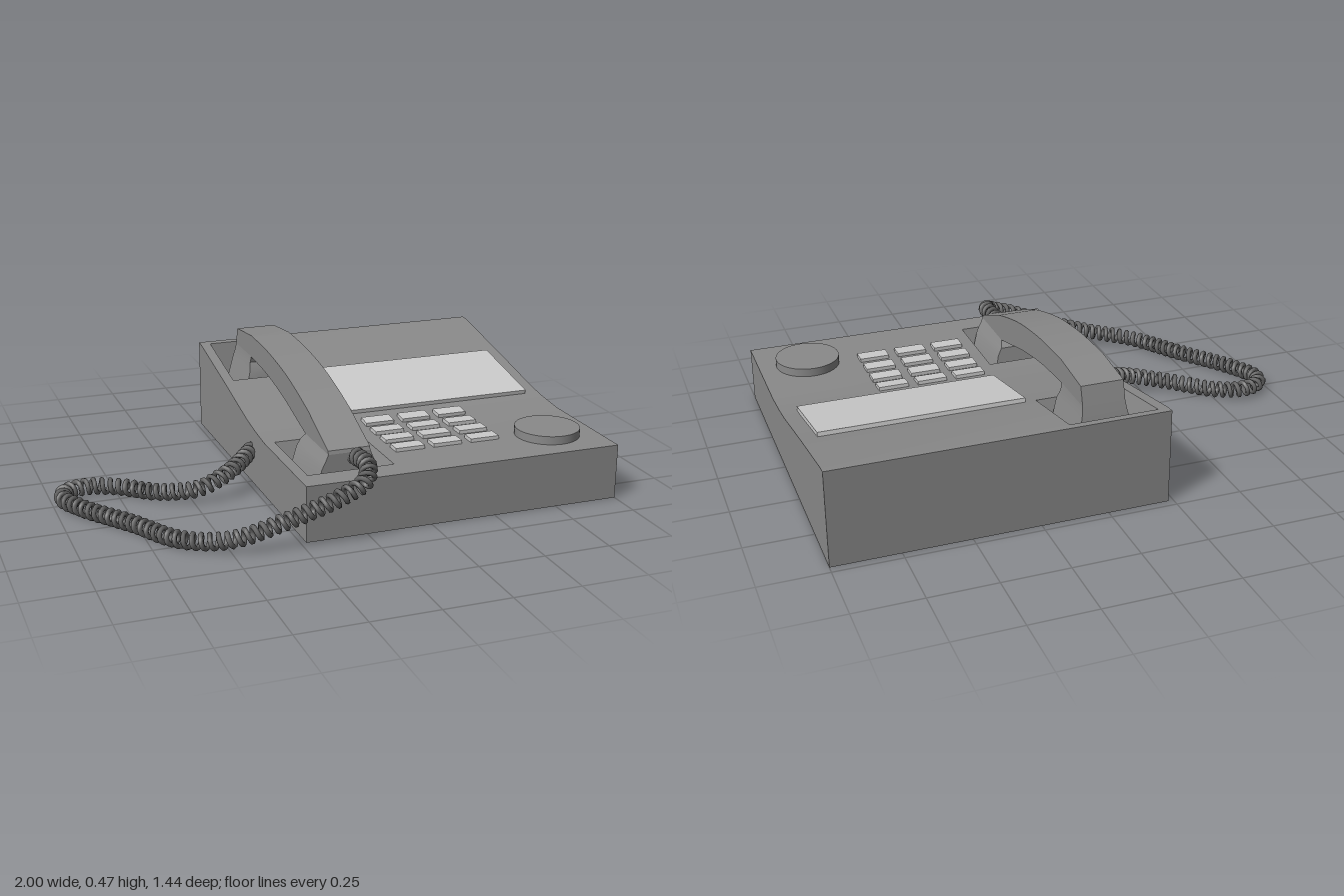
import * as THREE from 'three';
import { toCreasedNormals } from 'three/addons/utils/BufferGeometryUtils.js';

const paint = (color) => new THREE.MeshStandardMaterial({ color, side: THREE.DoubleSide });
const caseMat = paint(0x8a8a8a), lightMat = paint(0xcccccc), cordMat = paint(0x666666);

// Side profile of the case top: [z, height], front to back
const PROFILE = [[0.62, 0.21], [0.16, 0.21], [0.1, 0.215], [0.03, 0.222], [-0.06, 0.235],
  [-0.36, 0.297], [-0.69, 0.36], [-0.72, 0.362]];
const X0 = -0.23, X1 = 1;
// Cradle wells sunk into the case top
const WELLS = [
  { x0: -0.19, x1: 0.14, z0: -0.69, z1: -0.36, floor: 0.2 },
  { x0: -0.19, x1: 0.14, z0: 0.16, z1: 0.52, floor: 0.12 },
];

function topHeight(z) {
  for (let i = 1; i < PROFILE.length; i++) {
    const [za, ya] = PROFILE[i - 1], [zb, yb] = PROFILE[i];
    if (z >= zb) return ya + (yb - ya) * (za - z) / (za - zb);
  }
  return PROFILE[PROFILE.length - 1][1];
}

// Collects quads (counter-clockwise corners) into one geometry
function quadBuilder() {
  const pos = [];
  return {
    quad(a, b, c, d) { pos.push(...a, ...b, ...c, ...a, ...c, ...d); },
    build() {
      const g = new THREE.BufferGeometry();
      g.setAttribute('position', new THREE.Float32BufferAttribute(pos, 3));
      g.computeVertexNormals();
      return g;
    },
  };
}

// Rectangular ring of corners seen from above, counter-clockwise
const ring = (x0, x1, z0, z1, yAt) =>
  [[x0, z1], [x1, z1], [x1, z0], [x0, z0]].map(([x, z]) => [x, yAt(z), z]);

function caseGeometry() {
  const q = quadBuilder();
  const zs = [...new Set([...PROFILE.map((p) => p[0]), 0.52])].sort((a, b) => b - a);
  const xs = [X0, -0.19, 0.14, X1];
  const top = (x, z) => [x, topHeight(z), z];
  for (let i = 0; i + 1 < zs.length; i++) {
    const f = zs[i], b = zs[i + 1], mid = (f + b) / 2;
    for (let j = 0; j < 3; j++) {
      if (j === 1 && WELLS.some((w) => mid > w.z0 && mid < w.z1)) continue;
      q.quad(top(xs[j], f), top(xs[j + 1], f), top(xs[j + 1], b), top(xs[j], b));
    }
    q.quad([X1, 0, f], [X1, 0, b], top(X1, b), top(X1, f));
    q.quad([X0, 0, b], [X0, 0, f], top(X0, f), top(X0, b));
  }
  const zf = zs[0], zb = zs[zs.length - 1];
  q.quad([X0, 0, zf], [X1, 0, zf], top(X1, zf), top(X0, zf));
  q.quad([X1, 0, zb], [X0, 0, zb], top(X0, zb), top(X1, zb));
  q.quad([X0, 0, zb], [X1, 0, zb], [X1, 0, zf], [X0, 0, zf]);
  // Sloping well walls and floors
  const s = 0.03;
  for (const w of WELLS) {
    const rim = ring(w.x0, w.x1, w.z0, w.z1, topHeight);
    const base = ring(w.x0 + s, w.x1 - s, w.z0 + s, w.z1 - s, () => w.floor);
    for (let i = 0; i < 4; i++) {
      const n = (i + 1) % 4;
      q.quad(rim[i], rim[n], base[n], base[i]);
    }
    q.quad(...base);
  }
  return toCreasedNormals(q.build(), 0.3);
}

// Flared cup: rows of [y, x0, x1, z0, z1] from top to bottom
function cupGeometry(rows) {
  const q = quadBuilder();
  const rings = rows.map(([y, ...r]) => ring(...r, () => y));
  for (let i = 0; i + 1 < rings.length; i++) {
    for (let k = 0; k < 4; k++) {
      const n = (k + 1) % 4;
      q.quad(rings[i + 1][k], rings[i + 1][n], rings[i][n], rings[i][k]);
    }
  }
  q.quad(...rings[rings.length - 1].slice().reverse());
  return toCreasedNormals(q.build(), 0.6);
}

// Arched handset grip, drawn in (z, y) and extruded across x
function gripGeometry() {
  const v = (a) => a.map(([x, y]) => new THREE.Vector2(x, y));
  const s = new THREE.Shape();
  s.moveTo(-0.61, 0.375);
  s.lineTo(-0.59, 0.445);
  s.lineTo(-0.4, 0.465);
  s.splineThru(v([[-0.2, 0.457], [0, 0.432], [0.15, 0.398], [0.28, 0.36]]));
  s.lineTo(0.485, 0.277);
  s.lineTo(0.49, 0.262);
  s.lineTo(0.255, 0.262);
  s.splineThru(v([[0.15, 0.288], [0, 0.326], [-0.2, 0.36], [-0.405, 0.375]]));
  s.closePath();
  const g = new THREE.ExtrudeGeometry(s, { depth: 0.16, bevelEnabled: false, curveSegments: 5 });
  g.rotateY(-Math.PI / 2).translate(0.06, 0, 0);
  return toCreasedNormals(g, 0.3);
}

// Coil wound round a guide curve
class Coil extends THREE.Curve {
  constructor(guide, radius, turns) {
    super();
    Object.assign(this, { guide, radius, turns });
  }
  getPoint(t, target = new THREE.Vector3()) {
    const p = this.guide.getPointAt(t), d = this.guide.getTangentAt(t);
    const side = new THREE.Vector3(-d.z, 0, d.x).normalize();
    const up = new THREE.Vector3().crossVectors(d, side).normalize();
    const a = t * this.turns * Math.PI * 2;
    return target.copy(p).addScaledVector(side, this.radius * Math.cos(a))
      .addScaledVector(up, this.radius * Math.sin(a));
  }
}

export function createModel() {
  const model = new THREE.Group();
  const add = (name, geometry, material, parent = model) => {
    const mesh = new THREE.Mesh(geometry, material);
    mesh.name = name;
    parent.add(mesh);
    return mesh;
  };

  add('case', caseGeometry(), caseMat);

  // Handset with flared ends resting in the wells
  const handset = new THREE.Group();
  handset.name = 'handset';
  model.add(handset);
  add('grip', gripGeometry(), caseMat, handset);
  add('earpiece', cupGeometry([
    [0.376, -0.1, 0.06, -0.61, -0.402], [0.35, -0.103, 0.063, -0.617, -0.408],
    [0.31, -0.112, 0.072, -0.627, -0.388], [0.2, -0.135, 0.095, -0.645, -0.388]]), caseMat, handset);
  add('mouthpiece', cupGeometry([
    [0.264, -0.1, 0.06, 0.25, 0.49], [0.24, -0.11, 0.07, 0.225, 0.49],
    [0.21, -0.125, 0.085, 0.22, 0.49], [0.12, -0.145, 0.105, 0.205, 0.49]]), caseMat, handset);

  // Display panel lying on the slope
  const slope = Math.atan2(topHeight(-0.36) - topHeight(0), 0.36);
  const panel = add('displayPanel', new THREE.BoxGeometry(0.76, 0.02, 0.36 / Math.cos(slope)), lightMat);
  panel.position.set(0.56, (topHeight(0) + topHeight(-0.36)) / 2 + 0.006, -0.18);
  panel.rotation.x = slope;

  // Keypad, 3 columns by 4 rows
  const keypad = new THREE.Group();
  keypad.name = 'keypad';
  model.add(keypad);
  const keyShape = new THREE.BoxGeometry(0.115, 0.02, 0.058);
  for (const z of [0.093, 0.188, 0.284, 0.382]) {
    for (const x of [0.252, 0.403, 0.555]) {
      const key = add('key', keyShape, lightMat, keypad);
      key.position.set(x, topHeight(z) + 0.004, z);
      key.rotation.x = Math.atan2(topHeight(z - 0.03) - topHeight(z + 0.03), 0.06);
    }
  }

  // Round dial
  add('dial', new THREE.CylinderGeometry(0.123, 0.123, 0.04, 48), caseMat).position.set(0.81, 0.222, 0.42);

  // Coiled cord from the mouthpiece round to the side of the case
  const guide = new THREE.CatmullRomCurve3([
    [0, 0.25, 0.48], [0.005, 0.25, 0.6], [-0.03, 0.22, 0.665], [-0.12, 0.185, 0.685],
    [-0.3, 0.115, 0.66], [-0.5, 0.055, 0.625], [-0.65, 0.037, 0.53], [-0.78, 0.037, 0.33],
    [-0.92, 0.037, 0.13], [-0.965, 0.037, 0.02], [-0.945, 0.037, -0.04], [-0.86, 0.037, -0.07],
    [-0.75, 0.037, -0.03], [-0.62, 0.04, 0.08], [-0.48, 0.06, 0.145], [-0.35, 0.1, 0.11],
    [-0.225, 0.13, -0.01]].map((p) => new THREE.Vector3(...p)));
  guide.arcLengthDivisions = 400;
  add('cord', new THREE.TubeGeometry(new Coil(guide, 0.025, 76), 1000, 0.0095, 6), cordMat);

  return model;
}
